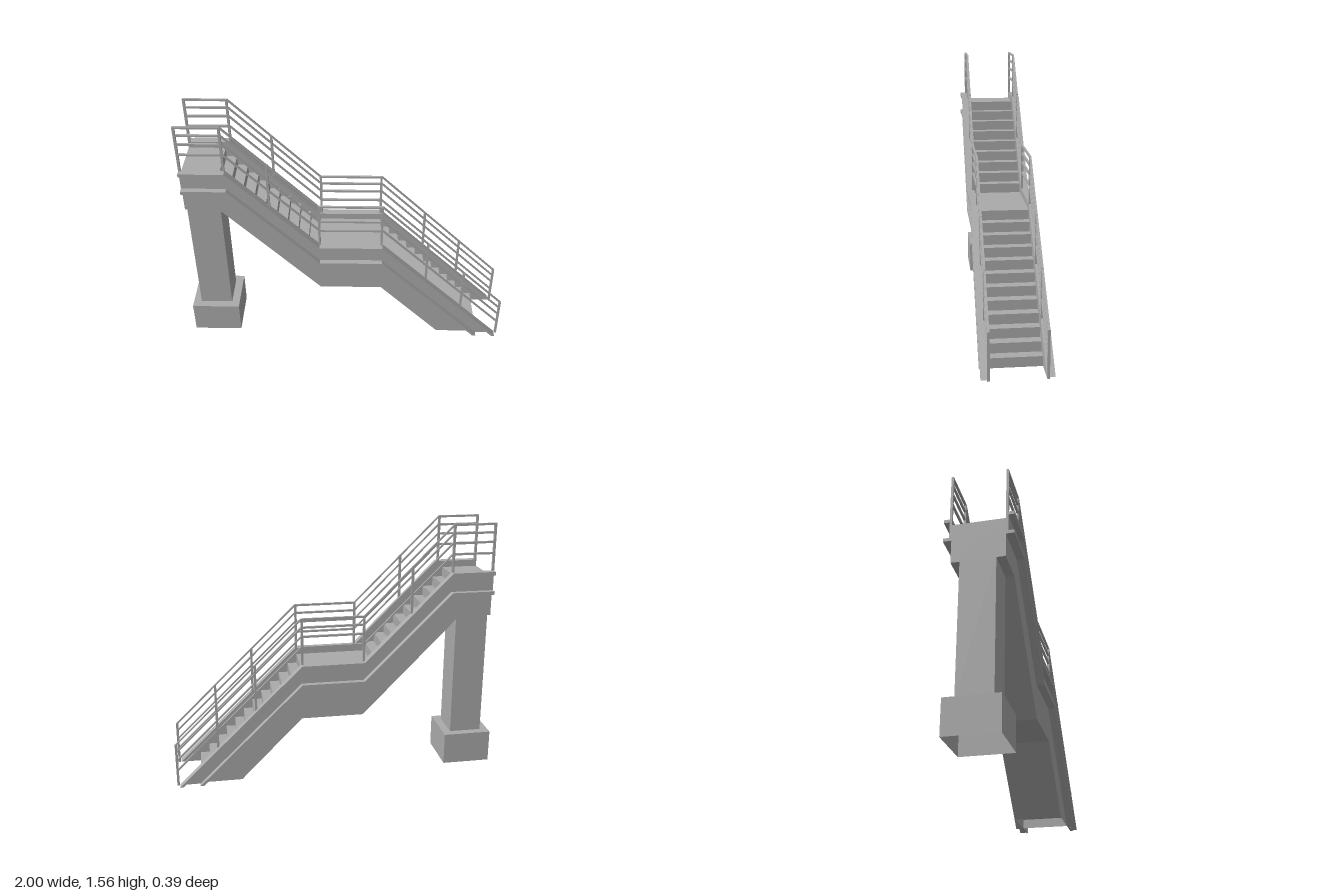
import * as THREE from 'three';

const concrete = new THREE.MeshStandardMaterial({ color: 0xaaaaaa, side: THREE.DoubleSide });
concrete.name = 'grey';

// Outline of the stringer's top edge, falling to the ground on the right
const LINE = [[-0.95, 1.27], [-0.69, 1.27], [-0.16, 0.74], [0.22, 0.74]];
const SLOPE = 0.74 / 0.76;

// Top-edge points raised by d, ending at the ground or at the last post
function raised(d) {
  const pts = LINE.map(([x, y]) => [x, y + d]);
  const x = Math.min(0.995, 0.22 + (0.74 + d) / SLOPE);
  pts.push([x, Math.max(0, 0.74 + d - (x - 0.22) * SLOPE)]);
  return pts;
}

function heightAt(x) {
  for (let i = 1; i < LINE.length; i++) {
    const [x0, y0] = LINE[i - 1], [x1, y1] = LINE[i];
    if (x <= x1) return y0 + (y1 - y0) * (x - x0) / (x1 - x0);
  }
  return Math.max(0, 0.74 - (x - 0.22) * SLOPE);
}

// Side profile pushed out from z0 to z1
function slab(points, z0, z1) {
  const shape = new THREE.Shape(points.map(([x, y]) => new THREE.Vector2(x, y)));
  const geo = new THREE.ExtrudeGeometry(shape, { depth: z1 - z0, bevelEnabled: false });
  return geo.translate(0, 0, z0);
}

const band = (hi, lo, z0, z1) => slab([...raised(lo), ...raised(hi).reverse()], z0, z1);

function box(x0, x1, y0, y1, z0, z1) {
  return new THREE.BoxGeometry(x1 - x0, y1 - y0, z1 - z0)
    .translate((x0 + x1) / 2, (y0 + y1) / 2, (z0 + z1) / 2);
}

// Removes the faces lying on the ground, leaving a hollow shell
function openBottom(source) {
  const geo = source.index ? source.toNonIndexed() : source;
  const p = geo.attributes.position, kept = [];
  for (let i = 0; i < p.count; i += 3) {
    if (Math.max(p.getY(i), p.getY(i + 1), p.getY(i + 2)) < 1e-4) continue;
    for (let j = i; j < i + 3; j++) kept.push(p.getX(j), p.getY(j), p.getZ(j));
  }
  const out = new THREE.BufferGeometry();
  out.setAttribute('position', new THREE.Float32BufferAttribute(kept, 3));
  out.computeVertexNormals();
  return out;
}

function add(parent, name, geo) {
  const mesh = new THREE.Mesh(geo, concrete);
  mesh.name = name;
  parent.add(mesh);
}

// Descending treads from (x0, y0) to (x1, y1) with n risers
function steps(x0, y0, x1, y1, n) {
  const pts = [], rise = (y0 - y1) / n, run = (x1 - x0) / (n - 1);
  for (let i = 0; i < n; i++) {
    pts.push([x0 + i * run, y0 - i * rise], [x0 + i * run, y0 - (i + 1) * rise]);
  }
  return pts;
}

export function createModel() {
  const model = new THREE.Group();
  model.name = 'staircase';

  // Support
  add(model, 'footing', openBottom(box(-1, -0.7, 0, 0.2, -0.15, 0.15)));
  add(model, 'column', box(-0.95, -0.75, 0.2, 0.99, -0.1, 0.1));

  // Two flights and two landings
  const profile = [
    [-0.95, 0.99], [-0.75, 0.99], [-0.16, 0.385], [0.22, 0.385], [0.6, 0],
    ...[
      [-0.95, 1.23],
      ...steps(-0.727, 1.23, -0.227, 0.7, 9),
      ...steps(0.215, 0.7, 0.85, 0, 12),
    ].reverse(),
  ];
  add(model, 'stairBody', openBottom(slab(profile, -0.15, 0.15)));

  for (const side of [1, -1]) {
    const group = new THREE.Group();
    group.name = side > 0 ? 'frontSide' : 'backSide';
    model.add(group);
    const span = (a, b) => side > 0 ? [a, b] : [-b, -a];

    // Channel-shaped stringer
    add(group, 'stringerWeb', band(0, -0.14, ...span(0.15, 0.163)));
    add(group, 'stringerTopFlange', band(0, -0.02, ...span(0.163, 0.197)));
    add(group, 'stringerBottomFlange', band(-0.12, -0.14, ...span(0.163, 0.197)));

    // Railing
    for (const top of [0.287, 0.237, 0.18, 0.113]) {
      add(group, 'rail', band(top, top - 0.012, ...span(0.151, 0.163)));
    }
    for (const x of [-0.943, -0.695, -0.45, -0.16, 0.215, 0.5, 0.737, 0.99]) {
      const y = heightAt(x);
      const top = x > 0.9 ? 0.275 : y + 0.284;
      add(group, 'post', box(x - 0.007, x + 0.007, Math.max(0, y - 0.02), top, ...span(0.15, 0.164)));
    }
  }
  return model;
}
